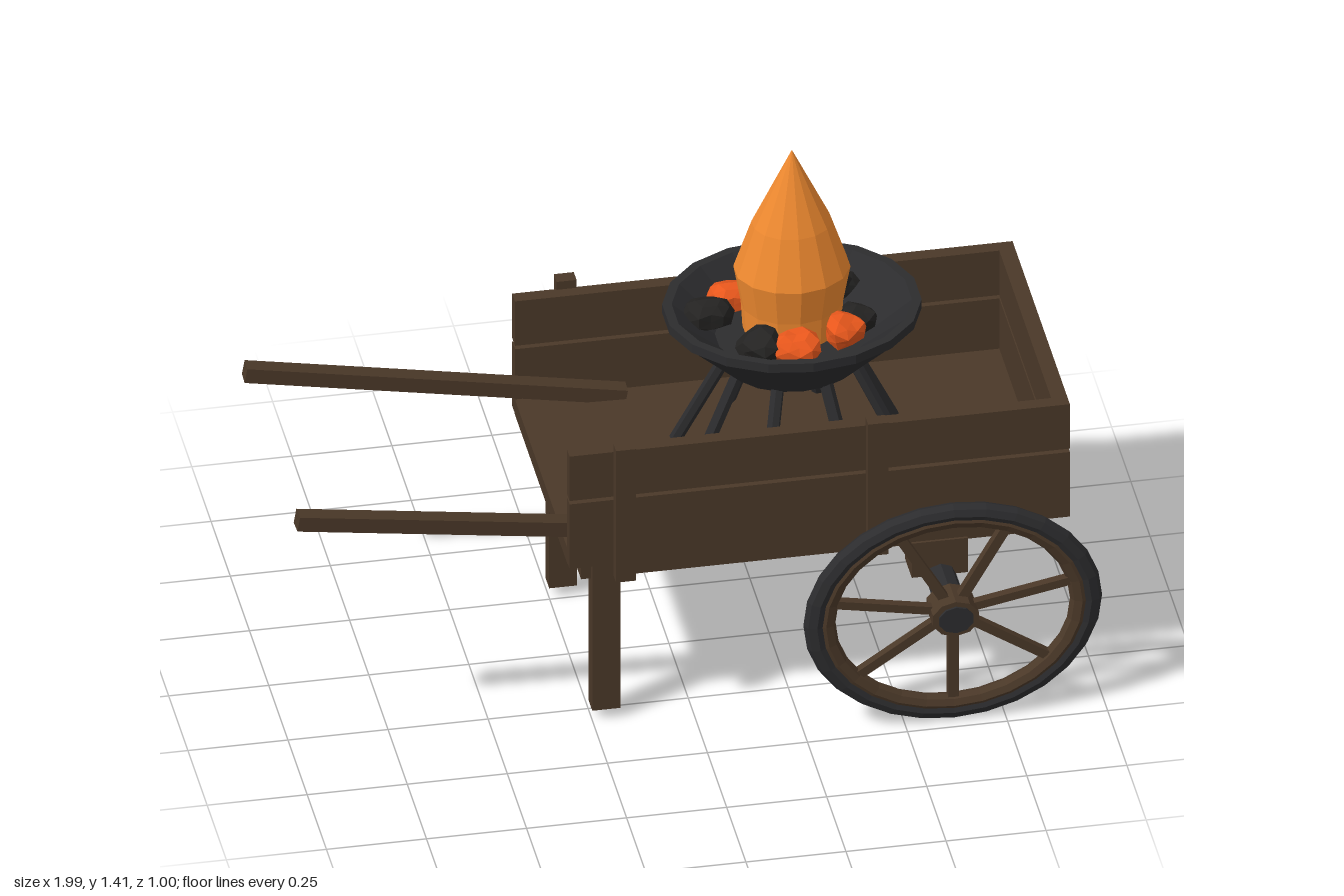
import * as THREE from 'three';

const mat = (color) => new THREE.MeshStandardMaterial({ color, flatShading: true });
const wood = mat(0x4a3828);
const iron = mat(0x2c2c2e);
const flameMat = mat(0xf08a30);
const emberMat = mat(0xe8571c);
const coalMat = mat(0x242322);
const ironOpen = mat(0x2c2c2e);
ironOpen.side = THREE.DoubleSide;

function add(parent, name, geometry, material, x = 0, y = 0, z = 0) {
  const mesh = new THREE.Mesh(geometry, material);
  mesh.name = name;
  mesh.position.set(x, y, z);
  parent.add(mesh);
  return mesh;
}

// Box given by its minimum and maximum on each axis
function box(parent, name, x0, x1, y0, y1, z0, z1, material = wood) {
  return add(parent, name, new THREE.BoxGeometry(x1 - x0, y1 - y0, z1 - z0), material,
    (x0 + x1) / 2, (y0 + y1) / 2, (z0 + z1) / 2);
}

// Lay a part whose length runs along local z between two points
function span(mesh, a, b) {
  mesh.position.copy(a).lerp(b, 0.5);
  mesh.lookAt(b);
  return mesh;
}

function bar(parent, name, a, b, w, h, material) {
  return span(add(parent, name, new THREE.BoxGeometry(w, h, a.distanceTo(b)), material), a, b);
}

function rod(parent, name, a, b, r, material) {
  const g = new THREE.CylinderGeometry(r, r, a.distanceTo(b), 6).rotateX(Math.PI / 2);
  return span(add(parent, name, g, material), a, b);
}

const v = (x, y, z) => new THREE.Vector3(x, y, z);

function makeBed() {
  const bed = new THREE.Group();
  bed.name = 'cartBed';
  box(bed, 'floor', -0.32, 0.92, 0.5, 0.545, -0.345, 0.345);
  // Two planks with a thin gap on each side and at the closed end
  for (const [name, y0, y1] of [['lower', 0.503, 0.692], ['upper', 0.702, 0.832]]) {
    box(bed, name + 'EndPlank', 0.89, 0.93, y0, y1, -0.338, 0.338);
    for (const s of [-1, 1]) {
      box(bed, name + 'SidePlank', -0.32, 0.93, y0, y1, s * 0.355 - 0.018, s * 0.355 + 0.018);
    }
  }
  for (const s of [-1, 1]) {
    for (const x of [-0.185, 0.445]) {
      box(bed, 'sidePost', x - 0.025, x + 0.025, 0.47, 0.855, s * 0.387 - 0.018, s * 0.387 + 0.018);
    }
    box(bed, 'sill', -0.275, 0.89, 0.413, 0.503, s * 0.25 - 0.038, s * 0.25 + 0.038);
    box(bed, 'axleBlock', 0.55, 0.69, 0.32, 0.42, s * 0.25 - 0.045, s * 0.25 + 0.045);
    box(bed, 'leg', -0.25, -0.18, 0.035, 0.505, s * 0.28 - 0.024, s * 0.28 + 0.024);
    bar(bed, 'handle', v(-0.995, 0.708, s * 0.34), v(-0.05, 0.549, s * 0.308), 0.042, 0.04, wood);
  }
  return bed;
}

function makeWheel() {
  const wheel = new THREE.Group();
  wheel.name = 'wheel';
  add(wheel, 'tyre', new THREE.TorusGeometry(0.286, 0.025, 8, 28), iron);
  add(wheel, 'rim', new THREE.TorusGeometry(0.267, 0.023, 8, 28), wood);
  const spokes = 7;
  for (let i = 0; i < spokes; i++) {
    const a = Math.PI * 1.5 + (i / spokes) * Math.PI * 2;
    const spoke = add(wheel, 'spoke', new THREE.BoxGeometry(0.24, 0.022, 0.022), wood,
      Math.cos(a) * 0.15, Math.sin(a) * 0.15, 0);
    spoke.rotation.z = a;
  }
  const drum = (r, l) => new THREE.CylinderGeometry(r, r, l, 10).rotateX(Math.PI / 2);
  add(wheel, 'hub', drum(0.05, 0.085), wood);
  add(wheel, 'hubCap', drum(0.037, 0.098), iron);
  return wheel;
}

function makeBrazier() {
  const brazier = new THREE.Group();
  brazier.name = 'brazier';
  // Bowl with a closed underside, a raised rim and a flat inner floor
  const profile = [[0, 0.8], [0.145, 0.8], [0.27, 0.935], [0.283, 0.945], [0.283, 0.97],
    [0.262, 0.97], [0.168, 0.88], [0, 0.88]].map(([r, y]) => new THREE.Vector2(r, y));
  add(brazier, 'bowl', new THREE.LatheGeometry(profile, 18), ironOpen);
  for (let i = 0; i < 8; i++) {
    const a = ((i + 0.5) / 8) * Math.PI * 2;
    const c = Math.cos(a), s = Math.sin(a);
    rod(brazier, 'bowlLeg', v(c * 0.13, 0.83, s * 0.13), v(c * 0.26, 0.54, s * 0.26), 0.015, iron);
  }
  const fire = [[0, 0.9], [0.108, 0.9], [0.112, 0.975], [0.128, 1.075], [0.088, 1.207], [0, 1.415]]
    .map(([r, y]) => new THREE.Vector2(r, y));
  add(brazier, 'flame', new THREE.LatheGeometry(fire, 14), flameMat);
  return brazier;
}

// Rough lump: a low-poly ball with its points pushed in and out by a rule
function lump(seed) {
  const g = new THREE.IcosahedronGeometry(1, 1);
  const p = g.attributes.position;
  const q = new THREE.Vector3();
  for (let i = 0; i < p.count; i++) {
    q.fromBufferAttribute(p, i);
    const k = 1 + 0.13 * Math.sin(q.x * 4.1 + seed * 2.3) + 0.1 * Math.sin(q.y * 5.3 + q.z * 3.7 + seed);
    p.setXYZ(i, q.x * k, q.y * k, q.z * k);
  }
  g.computeVertexNormals();
  return g;
}

export function createModel() {
  const model = new THREE.Group();
  model.name = 'fireCart';
  model.add(makeBed());

  // Axle and the pair of slightly oval wheels
  const axle = add(model, 'axle', new THREE.CylinderGeometry(0.035, 0.035, 0.9, 8).rotateX(Math.PI / 2),
    iron, 0.622, 0.318, 0);
  axle.scale.x = 1.1;
  for (const s of [-1, 1]) {
    const wheel = makeWheel();
    wheel.position.set(0.622, 0.318, s * 0.452);
    if (s < 0) wheel.rotation.x = Math.PI;
    wheel.scale.x = 1.2;
    model.add(wheel);
  }

  const brazier = makeBrazier();
  brazier.position.x = 0.307;
  brazier.scale.x = 1.13;
  model.add(brazier);

  // Glowing embers and burnt coals: x, z, size
  const embers = [[0.323, -0.18, 0.06], [0.175, -0.105, 0.05], [0.25, -0.115, 0.05],
    [0.42, 0.09, 0.05], [0.29, 0.15, 0.052], [0.41, -0.13, 0.045]];
  const coals = [[0.445, -0.115, 0.045], [0.105, -0.04, 0.052], [0.205, 0.125, 0.055], [0.46, 0.05, 0.045]];
  for (const [name, list, material] of [['ember', embers, emberMat], ['coal', coals, coalMat]]) {
    list.forEach(([x, z, r], i) => {
      add(model, name, lump(i + 1), material, x, 0.935, z).scale.set(r * 1.1, r * 0.85, r);
    });
  }
  return model;
}
